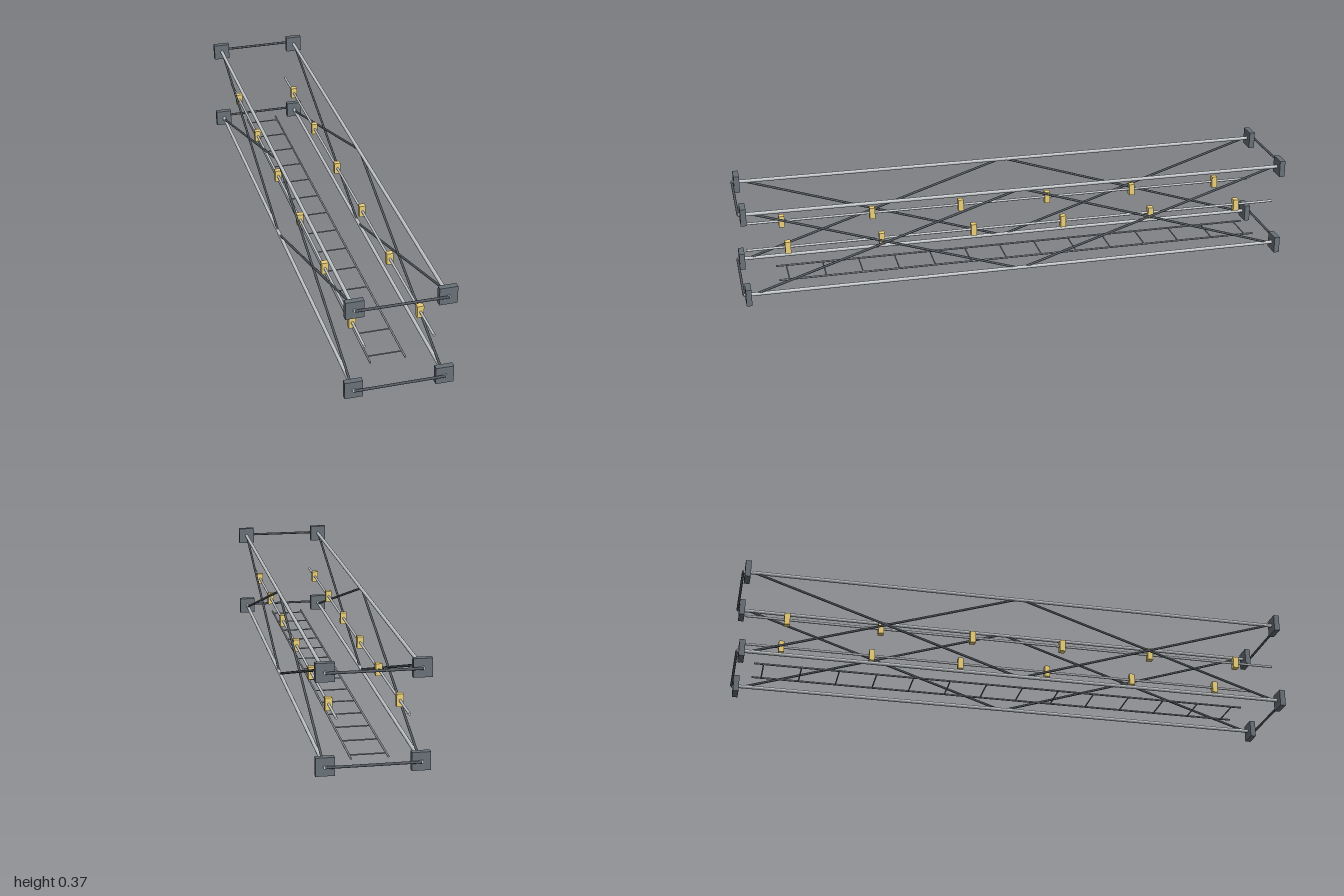
import * as THREE from 'three';

const HALF = 0.1527;             // half spacing of the corner chords
const MID_Y = 0.1835;
const LOW = MID_Y - HALF, HIGH = MID_Y + HALF;
const END_Z = 0.9955, PLATE_Z = 0.98;

const paint = (color) => new THREE.MeshStandardMaterial({ color });
const tubeGrey = paint(0xc4c8cb);
const steel = paint(0x687078);
const ladderGrey = paint(0x8a9096);
const braceGrey = paint(0x52585e);
const brass = paint(0xecd078);

export function createModel() {
  const model = new THREE.Group();

  const addGroup = (name) => {
    const group = new THREE.Group();
    group.name = name;
    model.add(group);
    return group;
  };

  // Round bar between two points
  const bar = (parent, name, a, b, radius, material) => {
    const from = new THREE.Vector3(...a), to = new THREE.Vector3(...b);
    const dir = to.clone().sub(from);
    const mesh = new THREE.Mesh(
      new THREE.CylinderGeometry(radius, radius, dir.length(), 12), material);
    mesh.name = name;
    mesh.position.copy(from).add(to).multiplyScalar(0.5);
    mesh.quaternion.setFromUnitVectors(new THREE.Vector3(0, 1, 0), dir.normalize());
    parent.add(mesh);
  };

  const box = (parent, name, size, position, material) => {
    const mesh = new THREE.Mesh(new THREE.BoxGeometry(...size), material);
    mesh.name = name;
    mesh.position.set(...position);
    parent.add(mesh);
  };

  // Four corner chords with end plates and end cross bars
  const frame = addGroup('frame');
  for (const y of [LOW, HIGH]) {
    for (const x of [-HALF, HALF]) {
      bar(frame, 'chord', [x, y, -END_Z], [x, y, END_Z], 0.0064, tubeGrey);
      for (const z of [-PLATE_Z, PLATE_Z])
        box(frame, 'endPlate', [0.061, 0.061, 0.02], [x, y, z], steel);
    }
    for (const z of [-END_Z, END_Z])
      bar(frame, 'endCrossBar', [-HALF, y, z], [HALF, y, z], 0.0045, braceGrey);
  }

  // Crossed diagonals, two bays on each side
  const bracing = addGroup('sideBracing');
  for (const x of [-HALF, HALF])
    for (const side of [-1, 1]) {
      const outer = side * 0.955, inner = side * 0.012;
      bar(bracing, 'diagonalBrace', [x, LOW, outer], [x, HIGH, inner], 0.0042, braceGrey);
      bar(bracing, 'diagonalBrace', [x, HIGH, outer], [x, LOW, inner], 0.0042, braceGrey);
    }

  // Side rails carrying evenly spaced blocks
  const rails = addGroup('blockRails');
  for (const x of [-0.1155, 0.1155]) {
    bar(rails, 'sideRail', [x, MID_Y, -0.975], [x, MID_Y, 0.975], 0.0045, tubeGrey);
    for (let i = 0; i < 6; i++)
      box(rails, 'railBlock', [0.023, 0.043, 0.02], [x, MID_Y, -0.83 + i * 0.332], brass);
  }

  // Ladder lying along the bottom
  const ladder = addGroup('ladder');
  for (const x of [-0.06, 0.06])
    bar(ladder, 'ladderRail', [x, LOW, -0.93], [x, LOW, 0.863], 0.0034, ladderGrey);
  for (let i = 0; i < 14; i++) {
    const z = -0.897 + i * 0.1326;
    bar(ladder, 'ladderRung', [-0.06, LOW, z], [0.06, LOW, z], 0.0024, ladderGrey);
  }

  return model;
}
